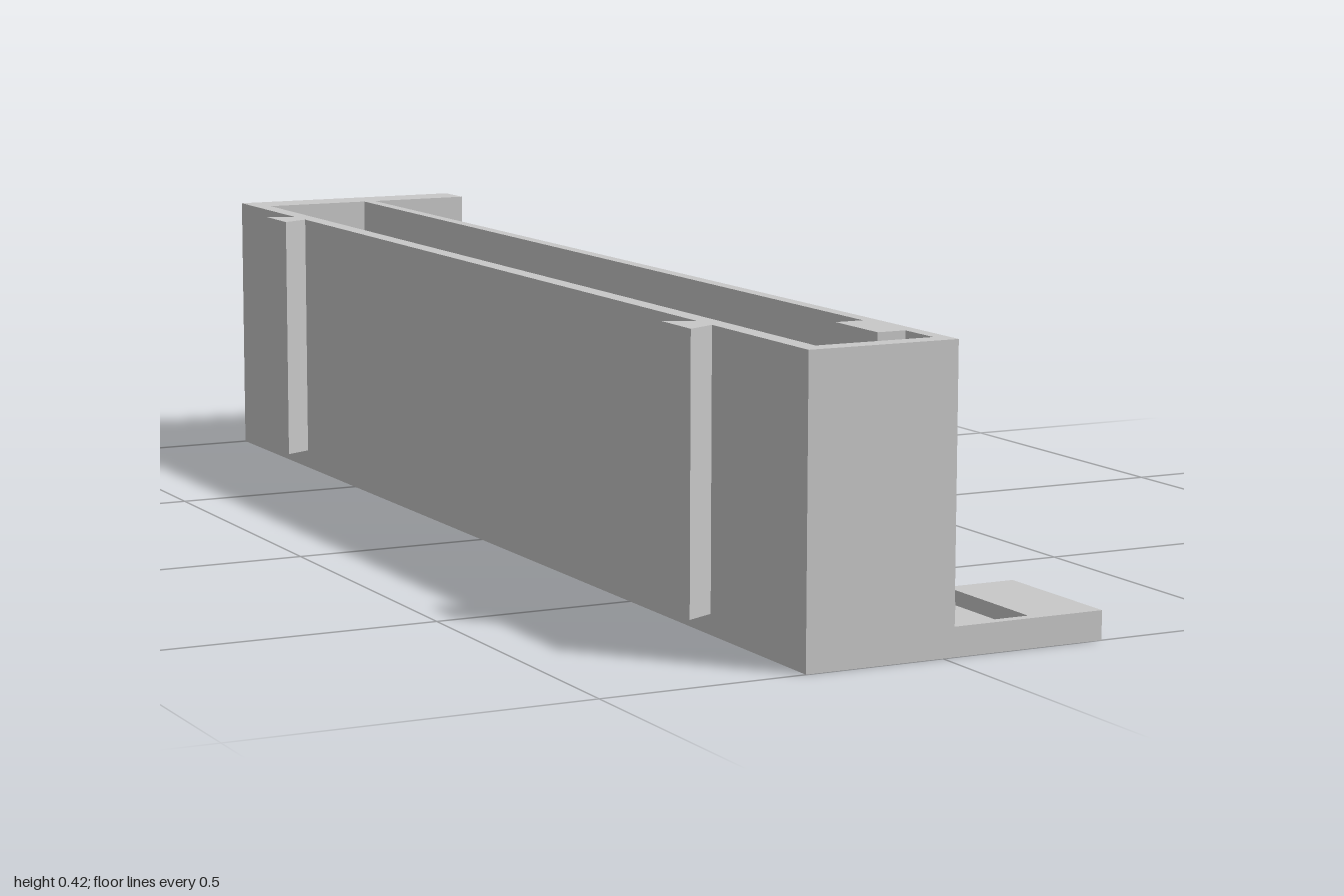
import * as THREE from 'three';

export function createModel() {
  const group = new THREE.Group();
  const grey = new THREE.MeshStandardMaterial({ color: 0xc8c8c8 });
  grey.name = 'plain grey';

  // Plan outline given as [x, z] pairs, raised from y0 to y1; a hole runs the opposite way round.
  const outline = (Type, pts) => new Type(pts.map(([x, z]) => new THREE.Vector2(x, -z)));
  function slab(name, y0, y1, pts, hole) {
    const shape = outline(THREE.Shape, pts);
    if (hole) shape.holes.push(outline(THREE.Path, hole));
    const geo = new THREE.ExtrudeGeometry(shape, { depth: y1 - y0, bevelEnabled: false });
    geo.rotateX(-Math.PI / 2).translate(0, y0, 0);
    const mesh = new THREE.Mesh(geo, grey);
    mesh.name = name;
    group.add(mesh);
  }
  function box(name, x0, x1, y0, y1, z0, z1) {
    const geo = new THREE.BoxGeometry(x1 - x0, y1 - y0, z1 - z0);
    geo.translate((x0 + x1) / 2, (y0 + y1) / 2, (z0 + z1) / 2);
    const mesh = new THREE.Mesh(geo, grey);
    mesh.name = name;
    group.add(mesh);
  }

  // Floor, notched near the front
  slab('basePlate', 0, 0.02, [
    [-0.205, -1], [0.184, -1], [0.184, 0.625], [0.146, 0.625], [0.146, 1], [-0.205, 1],
  ]);

  // Long open tray with a wider back wall; the hole leaves a column inside
  slab('trayWalls', 0.02, 0.42, [
    [-0.205, -1], [0.184, -1], [0.184, -0.932], [0.017, -0.932], [0.017, 1], [-0.205, 1],
  ], [
    [-0.178, 0.97], [-0.003, 0.97], [-0.003, 0.9], [-0.045, 0.9],
    [-0.045, 0.79], [-0.003, 0.79], [-0.003, -0.932], [-0.178, -0.932],
  ]);

  // Rail, stop and front lip along the ledge
  box('ledgeRail', 0.017, 0.052, 0.02, 0.059, -0.89, 0.945);
  box('smallStop', 0.017, 0.028, 0.074, 0.102, 0.835, 0.86);
  box('frontLip', 0.017, 0.247, 0.015, 0.041, 0.985, 1);

  // Front socket: two plates with a gap between
  box('frontSocketBottom', 0.146, 0.247, 0, 0.015, 0.81, 1);
  box('frontSocketTop', 0.14, 0.247, 0.035, 0.041, 0.78, 1);
  box('frontSocketInnerWall', 0.14, 0.147, 0.015, 0.038, 0.78, 0.99);

  // Back socket with a dovetail slot
  box('backSocketBottom', 0.184, 0.247, 0, 0.015, -1, -0.838);
  slab('backSocket', 0.015, 0.041, [
    [0.14, -1], [0.247, -1], [0.247, -0.965], [0.184, -0.99],
    [0.184, -0.853], [0.247, -0.87], [0.247, -0.838], [0.14, -0.838],
  ]);

  // Dovetail ribs on the outer side
  for (const z of [-0.725, 0.72]) {
    slab('dovetailRib', 0.029, 0.42, [
      [-0.204, z - 0.02], [-0.204, z + 0.02], [-0.248, z + 0.042], [-0.248, z - 0.042],
    ]);
  }
  return group;
}
